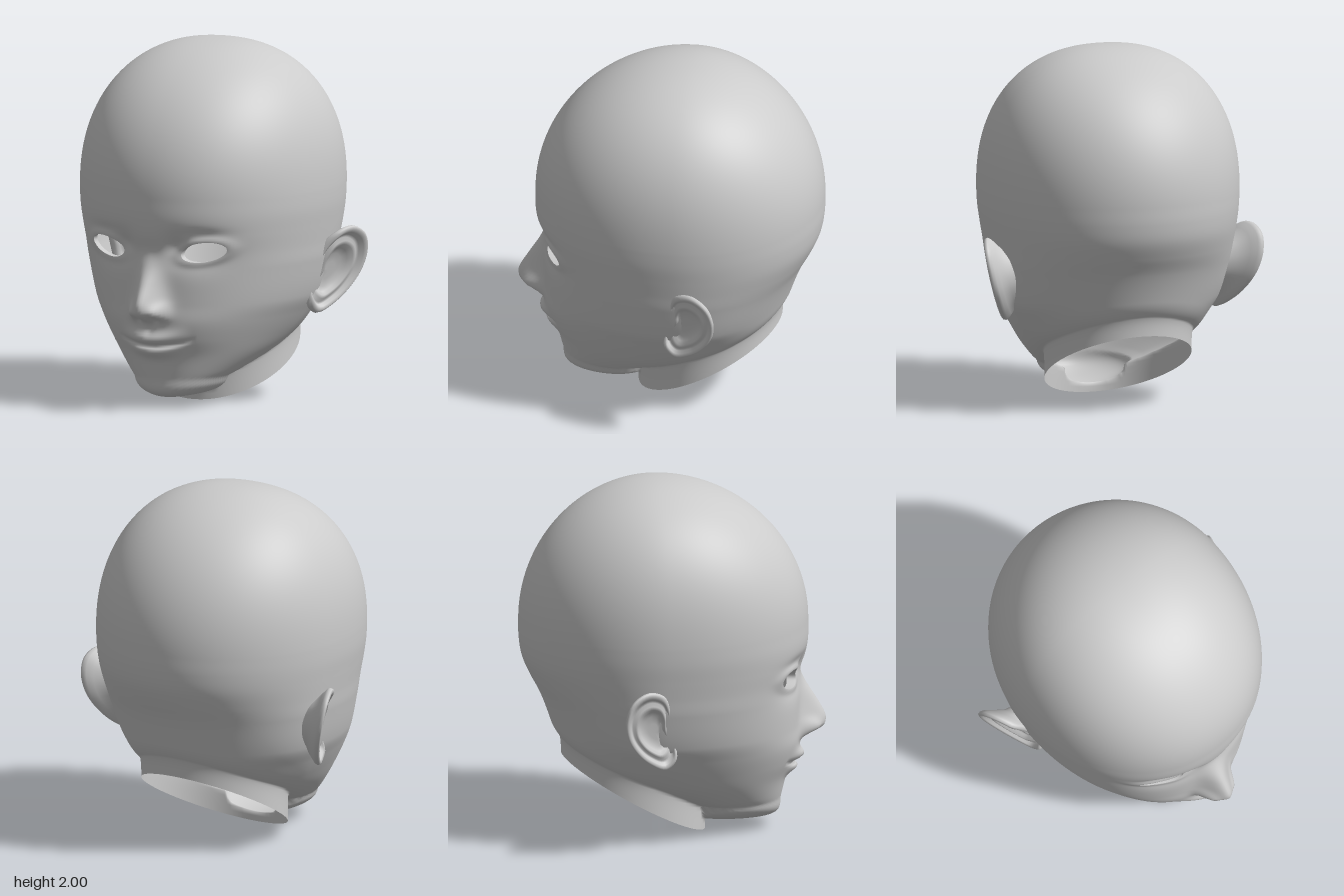
import * as THREE from 'three';
import { mergeVertices } from 'three/addons/utils/BufferGeometryUtils.js';

const { smoothstep } = THREE.MathUtils;
const sq = (v) => v * v;
const bump = (x, y, cx, cy, sx, sy) => Math.exp(-sq((x - cx) / sx) - sq((y - cy) / sy));

// Smooth interpolation of table rows [y, ...values], y descending
function sample(rows, y, c) {
  const n = rows.length;
  if (y >= rows[0][0]) return rows[0][c];
  if (y <= rows[n - 1][0]) return rows[n - 1][c];
  let i = 0;
  while (y < rows[i + 1][0]) i++;
  const slope = (k) => {
    const a = rows[Math.max(k - 1, 0)], b = rows[Math.min(k + 1, n - 1)];
    return (b[c] - a[c]) / (b[0] - a[0]);
  };
  const [p, q] = [rows[i], rows[i + 1]], d = q[0] - p[0], t = (y - p[0]) / d;
  const s = t * t * (3 - 2 * t);
  return p[c] * (1 - s) + q[c] * s + d * (t * sq(1 - t) * slope(i) - t * t * (1 - t) * slope(i + 1));
}

// Horizontal sections of skull and jaw: y, half width, front z, back z, z of widest point
const SECTIONS = [
  [1.3, 0.715, 0.755, -0.855, -0.09], [1.2, 0.715, 0.755, -0.857, -0.09],
  [1.1, 0.71, 0.755, -0.855, -0.09], [1.0, 0.697, 0.745, -0.838, -0.095],
  [0.9, 0.682, 0.727, -0.795, -0.1], [0.8, 0.667, 0.712, -0.74, -0.1],
  [0.6, 0.615, 0.705, -0.642, -0.1], [0.5, 0.56, 0.708, -0.58, -0.08],
  [0.4, 0.495, 0.683, -0.48, -0.03], [0.3, 0.415, 0.637, -0.3, 0.08],
  [0.2, 0.31, 0.612, -0.02, 0.22], [0.16, 0.255, 0.603, 0.08, 0.3],
];
// Nose ridge: y, height, half width
const NOSE = [
  [1.0, 0, 0.08], [0.9, 0.003, 0.07], [0.82, 0.032, 0.07], [0.72, 0.095, 0.072], [0.64, 0.142, 0.078],
  [0.6, 0.153, 0.082], [0.56, 0.14, 0.082], [0.53, 0.09, 0.08], [0.505, 0.02, 0.075], [0.48, 0.008, 0.07], [0.44, 0, 0.07],
];

function section(y) {
  const yy = THREE.MathUtils.clamp(y, 0.16, 1.2);
  const [w, f, b, c] = [1, 2, 3, 4].map((k) => sample(SECTIONS, yy, k));
  let sw = 1, sz = 1;
  if (y > 1.2) { // cranium dome
    const s = Math.min((y - 1.2) / 0.8, 1);
    sw = Math.pow(1 - Math.pow(s, 2.3), 1 / 2.3);
    sz = Math.sqrt(1 - s * s);
  } else if (y < 0.16) { // rounded underside of the chin
    const s = Math.min((0.16 - y) / 0.11, 1);
    sw = Math.sqrt(1 - s * s);
    sz = Math.pow(1 - Math.pow(s, 4), 0.25);
  }
  return { w: w * sw, f: (f - c) * sz, b: (c - b) * sz, c };
}

function inside(x, y, z) {
  if (y >= 2 || y <= 0.05) return false;
  const s = section(y), front = z > s.c, n = front ? 2.1 : 2;
  return Math.pow(Math.abs(x) / s.w, n) + Math.pow(Math.abs(z - s.c) / (front ? s.f : s.b), n) < 1;
}

// Eye outline in normalised coordinates
const EYE = { x: 0.297, y: 0.905, rx: 0.12, ry: 0.056, tilt: 0.14 };
const eyeUV = (ax, y) => [(ax - EYE.x) / EYE.rx, (y - EYE.y - EYE.tilt * (ax - EYE.x)) / EYE.ry];
const eyeXY = (u, v) => [EYE.x + u * EYE.rx, EYE.y + EYE.tilt * u * EYE.rx + v * EYE.ry];

// Forward relief of the face: nose, eyes, lips
function relief(x, y) {
  const ax = Math.abs(x);
  if (y < 0.15 || y > 1.3 || ax > 0.65) return 0;
  let h = sample(NOSE, y, 1) * Math.exp(-sq(x / sample(NOSE, y, 2)));
  h += 0.045 * bump(ax, y, 0.08, 0.565, 0.036, 0.045);
  h -= 0.04 * bump(ax, y, 0.052, 0.525, 0.024, 0.014);
  // sockets, lids and lid crease
  h -= 0.014 * bump(x, y, 0, 0.9, 0.1, 0.07);
  h -= 0.04 * bump(ax, y, 0.27, 0.9, 0.15, 0.1);
  h -= 0.03 * bump(ax, y, 0.155, 0.925, 0.06, 0.075);
  h -= 0.01 * bump(ax, y, 0.3, 1.01, 0.12, 0.03);
  const [u, v] = eyeUV(ax, y), q = Math.hypot(u, v);
  h += 0.016 * Math.exp(-sq((q - 1.1) / 0.35)) * (v > 0 ? 1 : 0.6 + 0.4 * Math.exp(v));
  // lips
  const m = y - 0.366 - 0.032 * sq(ax / 0.2);
  const g = Math.max(0, 1 - sq(ax / 0.23)), gl = sq(Math.max(0, 1 - sq(ax / 0.2)));
  h += 0.05 * g * g * Math.exp(-sq((m - 0.037) / (m > 0.037 ? 0.042 : 0.028)));
  h += 0.046 * gl * Math.exp(-sq((m + 0.034) / 0.032));
  h -= 0.024 * Math.sqrt(g) * Math.exp(-sq(m / 0.011));
  h -= 0.008 * bump(x, y, 0, 0.46, 0.022, 0.03);
  return h;
}
function faceZ(x, y) {
  const s = section(y);
  return s.c + s.f * Math.pow(Math.max(0, 1 - Math.pow(Math.abs(x) / s.w, 2.1)), 1 / 2.1) + relief(x, y);
}

const CY = 0.9, CZ = -0.22; // middle of the head, from which the skin is cast outwards

function skinPoint(a, t) {
  // the neck is an upright oval tube, cut on a slant
  const neckR = 1 / Math.hypot(Math.sin(a) / 0.41, Math.cos(a) / 0.4);
  const cutY = (0.18 - (CZ + neckR * Math.cos(a))) * 0.55;
  const e = Math.PI / 2 + t * (Math.atan2(cutY - CY, neckR) - Math.PI / 2);
  const ce = Math.cos(e), dx = Math.sin(a) * ce, dy = Math.sin(e), dz = Math.cos(a) * ce;
  let lo = 0.3;
  while (inside(dx * (lo + 0.03), CY + dy * (lo + 0.03), CZ + dz * (lo + 0.03))) lo += 0.03;
  let hi = lo + 0.03;
  for (let k = 0; k < 14; k++) {
    const m = (lo + hi) / 2;
    if (inside(dx * m, CY + dy * m, CZ + dz * m)) lo = m; else hi = m;
  }
  // blend skull and neck
  const rn = e < 0 ? neckR / ce : 0, k = 0.16;
  const r = Math.max(lo, rn) + (sq(Math.max(k - Math.abs(lo - rn), 0)) / k / 4) * smoothstep(1 - t, 0, 0.14);
  const p = [dx * r, CY + dy * r, CZ + dz * r];
  p[2] += relief(p[0], p[1]) * smoothstep(p[2], 0.15, 0.4);
  return p;
}

function finish(pos, idx) {
  let g = new THREE.BufferGeometry();
  g.setAttribute('position', new THREE.Float32BufferAttribute(pos, 3));
  g.setIndex(idx);
  g = mergeVertices(g, 1e-5);
  g.computeVertexNormals();
  return g;
}

function headGeometry() {
  const NA = 208, NE = 210, pts = [], idx = [];
  for (let j = 0; j <= NE; j++) for (let i = 0; i < NA; i++) {
    const s = (i / NA) * Math.PI * 2;
    pts.push(skinPoint(s - 0.55 * Math.sin(s), j / NE)); // finer towards the face
  }
  const inEye = pts.map(([x, y, z]) => z > 0.25 && Math.hypot(...eyeUV(Math.abs(x), y)) < 1);
  const rim = new Set();
  const tri = (...t) => {
    if (t.every((k) => inEye[k])) return;
    t.forEach((k) => inEye[k] && rim.add(k));
    idx.push(...t);
  };
  for (let j = 0; j < NE; j++) for (let i = 0; i < NA; i++) {
    const a = j * NA + i, c = j * NA + ((i + 1) % NA);
    if (j > 0) tri(a, a + NA, c);
    tri(c, a + NA, c + NA);
  }
  // pull the edge of each eye opening onto its outline
  for (const k of rim) {
    const p = pts[k], side = Math.sign(p[0]);
    const [u, v] = eyeUV(Math.abs(p[0]), p[1]), q = Math.hypot(u, v) || 1;
    const [x, y] = eyeXY(u / q, v / q);
    pts[k] = [side * x, y, faceZ(x, y)];
  }
  return finish(pts.flat(), idx);
}

// Joins rings of equal point count into a closed skin
function loft(rings) {
  const n = rings[0].length, idx = [];
  for (let j = 0; j < rings.length - 1; j++) for (let i = 0; i < n; i++) {
    const a = j * n + i, b = j * n + ((i + 1) % n);
    idx.push(a, b, a + n, b, b + n, a + n);
  }
  return finish(rings.flat(2), idx);
}

function earGeometry() {
  // outline in (z, y)
  const outline = new THREE.CatmullRomCurve3([
    [-0.1, 0.49], [-0.2, 0.54], [-0.28, 0.62], [-0.335, 0.72], [-0.348, 0.83], [-0.31, 0.93], [-0.22, 0.978],
    [-0.13, 0.945], [-0.085, 0.85], [-0.075, 0.74], [-0.05, 0.64], [-0.045, 0.54],
  ].map(([z, y]) => new THREE.Vector3(0, y, z)), true).getPoints(56).slice(0, -1);
  // scale and outward offset, from the root behind the ear over the rim into the bowl
  const profile = [
    [0.55, -0.15], [0.66, -0.07], [0.86, -0.028], [0.97, -0.005], [1, 0.012], [0.98, 0.028], [0.92, 0.035],
    [0.85, 0.026], [0.8, 0.005], [0.74, 0], [0.66, 0.012], [0.58, 0.01], [0.5, -0.012], [0.38, -0.028], [0.2, -0.03], [0, -0.03],
  ];
  return loft(profile.map(([s, o], k) => outline.map((p) => {
    const cz = k < 3 ? -0.16 : -0.175, z = cz + (p.z - cz) * s, y = 0.72 + (p.y - 0.72) * s;
    const sink = 0.045 * smoothstep(z, -0.14, -0.07) * smoothstep(y, 0.55, 0.66); // front edge runs into the cheek
    return [0.665 + 0.45 * (-0.08 - z) + 0.22 * (y - 0.8) + o - sink, y, z];
  })));
}

// Thickness of the eyelids, running back from the opening
function lidGeometry() {
  return loft([[1, 0], [1, -0.015], [1.03, -0.05]].map(([s, dz]) => Array.from({ length: 48 }, (_, i) => {
    const a = (i / 48) * Math.PI * 2;
    const [x, y] = eyeXY(Math.cos(a), Math.sin(a)), [ox, oy] = eyeXY(s * Math.cos(a), s * Math.sin(a));
    return [ox, oy, faceZ(x, y) + dz];
  })));
}

export function createModel() {
  const group = new THREE.Group();
  const skin = new THREE.MeshStandardMaterial({ color: 0xcccccc, side: THREE.DoubleSide });
  const add = (name, geometry) => {
    const mesh = new THREE.Mesh(geometry, skin);
    mesh.name = name;
    group.add(mesh);
    return mesh;
  };
  add('head', headGeometry());
  const ear = earGeometry(), lid = lidGeometry();
  for (const [side, s] of [['left', 1], ['right', -1]]) {
    add(side + 'Ear', ear).scale.x = s;
    add(side + 'Eyelids', lid).scale.x = s;
  }
  // hollow of the mouth, inside the head
  const mouth = add('mouthCavity', new THREE.SphereGeometry(1, 32, 20));
  mouth.scale.set(0.165, 0.16, 0.27);
  mouth.position.set(0, 0.42, 0.34);
  return group;
}
